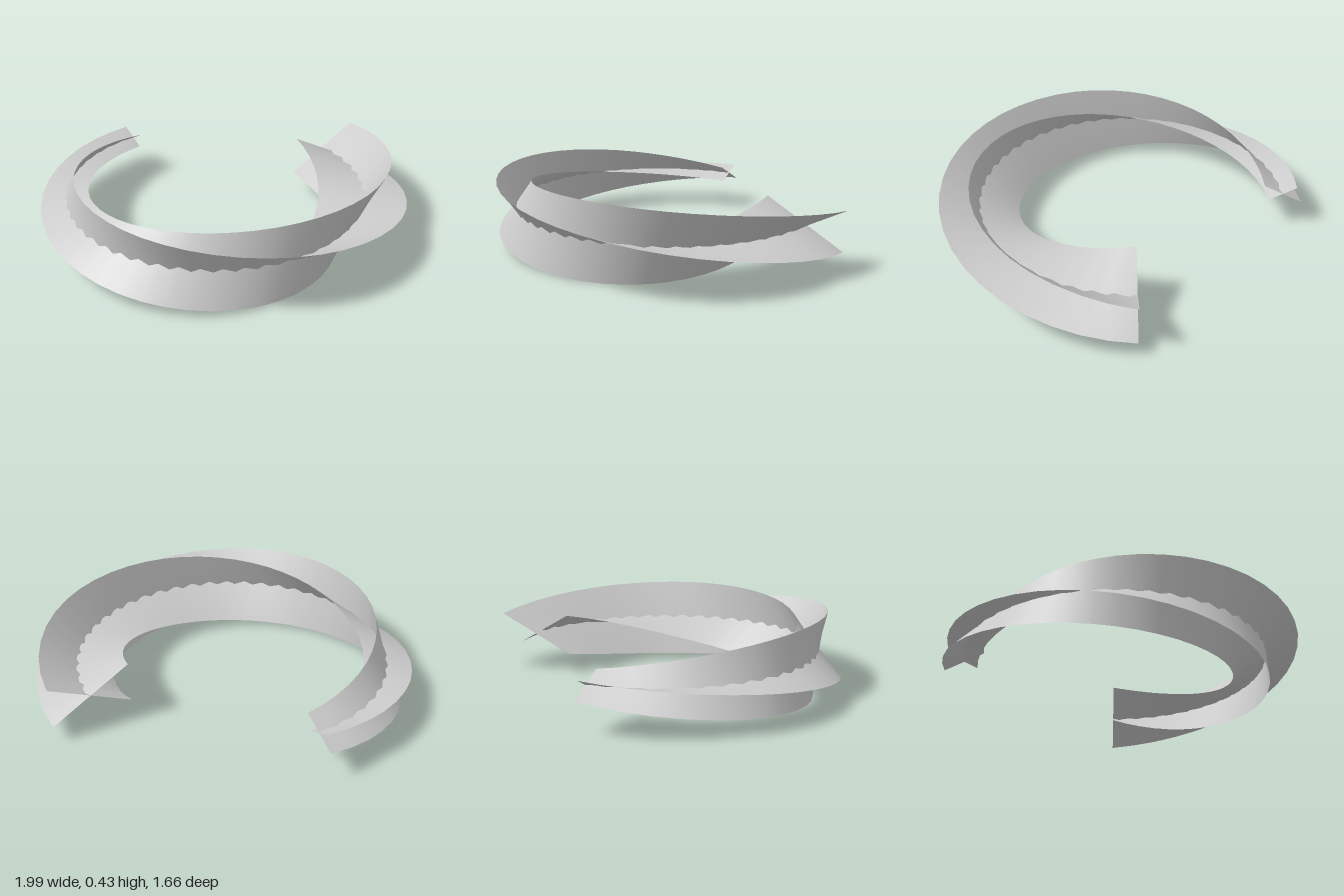
import * as THREE from 'three';

const SEGMENTS = 36;
const RADIUS = 0.816;
const CENTRE = { x: -0.054, y: 0.212, z: -0.09 };
const rad = THREE.MathUtils.degToRad;

// Ribbon bent round a 270 degree arc, rolling about the arc and widening along it
function twistedRibbon(name, startRoll, halfWidth) {
  const geometry = new THREE.PlaneGeometry(2, 1, 1, SEGMENTS);
  const p = geometry.attributes.position;
  for (let i = 0; i < p.count; i++) {
    const t = 0.5 - p.getY(i);
    const side = p.getX(i);
    const sweep = rad(-45 + 270 * t);
    const roll = rad(startRoll - 183 * t);
    const offset = side * halfWidth(t);
    const r = RADIUS + offset * Math.cos(roll);
    p.setXYZ(
      i,
      CENTRE.x - r * Math.cos(sweep),
      CENTRE.y + offset * Math.sin(roll),
      CENTRE.z + r * Math.sin(sweep)
    );
  }
  geometry.computeVertexNormals();
  const mesh = new THREE.Mesh(
    geometry,
    new THREE.MeshStandardMaterial({ color: 0xcccccc, side: THREE.DoubleSide })
  );
  mesh.name = name;
  return mesh;
}

export function createModel() {
  const group = new THREE.Group();
  group.name = 'twistedRibbonArc';
  // Two ribbons crossing along their shared centre line
  group.add(
    twistedRibbon('wideRibbon', 153, (t) => 0.24 - 0.125 * (1 - t) ** 2.4),
    twistedRibbon('narrowRibbon', 27, (t) => 0.242 - 0.16 * (1 - t) ** 1.55)
  );
  return group;
}
